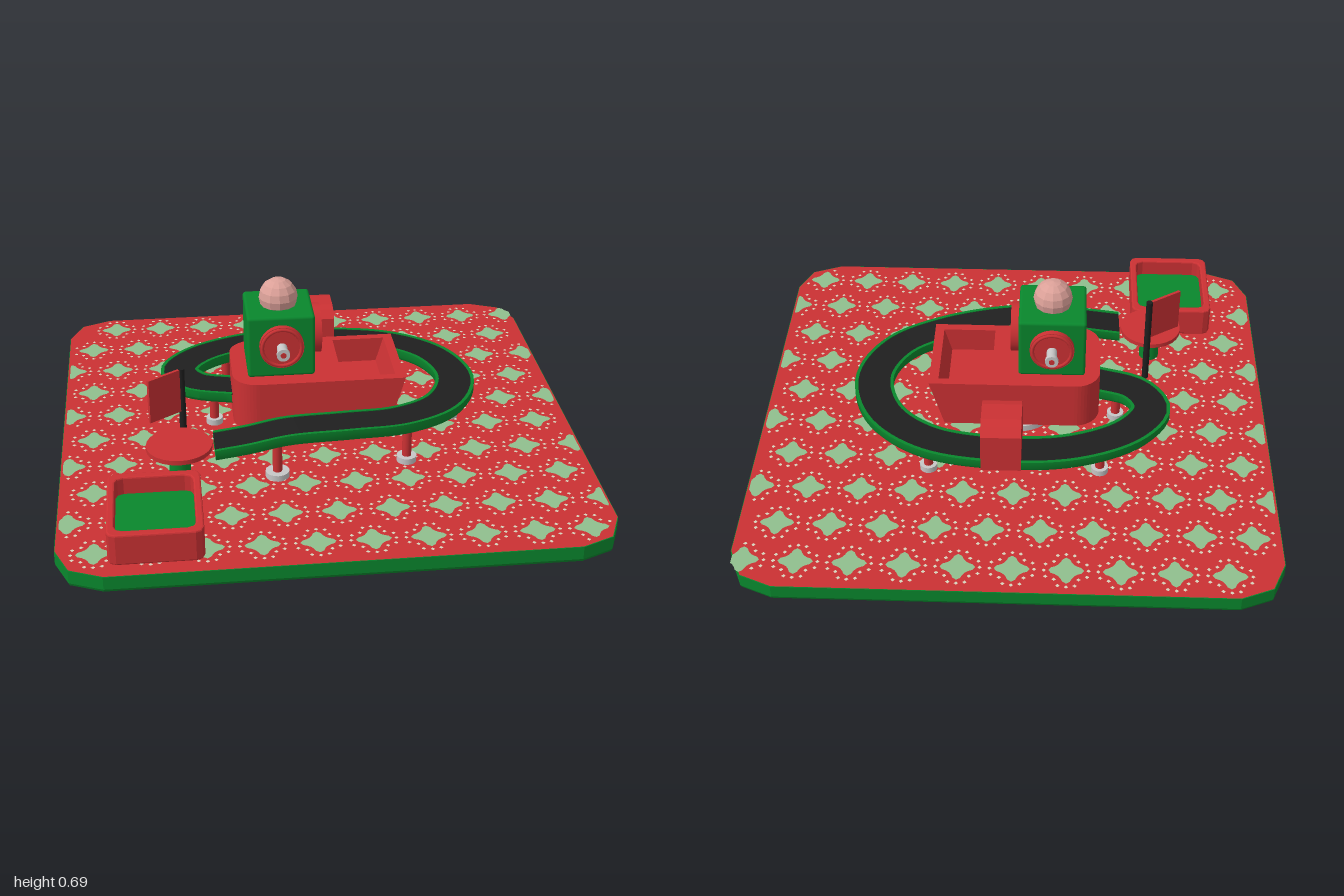
import * as THREE from 'three';
import { mergeGeometries, toCreasedNormals } from 'three/addons/utils/BufferGeometryUtils.js';
import { RoundedBoxGeometry } from 'three/addons/geometries/RoundedBoxGeometry.js';

const mat = (name, color) => new THREE.MeshStandardMaterial({ name, color });

export function createModel() {
  const red = mat('red', 0xcb3133), green = mat('green', 0x09872d), black = mat('black', 0x1f1f1f);
  const grey = mat('grey', 0xc6c6c6), pink = mat('pink', 0xdba098);
  const leaf = mat('leafGreen', 0x90bf8e), cream = mat('cream', 0xd8d2bc);
  const root = new THREE.Group();
  root.name = 'conveyorMachine';

  const add = (name, geo, material, x = 0, y = 0, z = 0) => {
    const m = new THREE.Mesh(geo, material);
    m.name = name;
    m.position.set(x, y, z);
    root.add(m);
    return m;
  };
  // upright cylinder between two heights
  const post = (name, material, x, z, r, y0, y1, n = 20) =>
    add(name, new THREE.CylinderGeometry(r, r, y1 - y0, n), material, x, (y0 + y1) / 2, z);
  // rectangle with cut corners
  const octagon = (w, d, c, m = c * 0.3) => [
    [w, -d + c], [w, d - c], [w - m, d - m], [w - c, d], [-w + c, d], [-w + m, d - m],
    [-w, d - c], [-w, -d + c], [-w + m, -d + m], [-w + c, -d], [w - c, -d], [w - m, -d + m],
  ].map(p => new THREE.Vector2(...p));
  // extrude a plan outline upwards
  const slab = (shape, h, bevel = 0) => {
    const g = new THREE.ExtrudeGeometry(shape, {
      depth: h - 2 * bevel, bevelEnabled: bevel > 0, bevelSize: bevel, bevelThickness: bevel,
      bevelOffset: -bevel, bevelSegments: 2, curveSegments: 6,
    });
    return g.translate(0, 0, bevel).rotateX(-Math.PI / 2);
  };

  // Base board: rounded lower edge, straight green sides and a red top face
  add('baseBoard', slab(new THREE.Shape(octagon(1, 1, 0.17)), 0.05, 0.015), green);
  add('baseRim', slab(new THREE.Shape(octagon(1, 1, 0.17)), 0.04), green, 0, 0.025, 0);
  const top = new THREE.ShapeGeometry(new THREE.Shape(octagon(0.998, 0.998, 0.17)));
  add('baseTop', top.rotateX(-Math.PI / 2), red, 0, 0.066, 0);

  // Leaf motifs in staggered rows, with small specks around each
  const motif = [], specks = [];
  for (let k = 0; k < 4; k++) {
    const polar = ([a, r]) => [r * Math.cos(a + k * Math.PI / 2), r * Math.sin(a + k * Math.PI / 2)];
    motif.push(...[[-0.45, 0.045], [-0.25, 0.056], [0, 0.064], [0.25, 0.056], [0.45, 0.045],
      [Math.PI / 4, 0.04]].map(polar));
    specks.push(...[[0, 0.08], [-0.39, 0.08], [0.39, 0.08], [Math.PI / 4, 0.062]].map(polar));
  }
  const lim = v => Math.max(-0.99, Math.min(0.99, v));
  const flat = (points, x, z) => new THREE.ShapeGeometry(new THREE.Shape(
    points.map(p => new THREE.Vector2(lim(p[0] + x), lim(p[1] - z))))).rotateX(-Math.PI / 2);
  const leaves = [], dots = [];
  for (let r = 0; r < 10; r++) for (let c = -1; c < 12; c++) {
    const x = -0.992 + c * 0.1945 + (r % 2 ? 0.093 : 0) + r * 0.004;
    const z = -0.897 + r * 0.1955 + c * 0.0025;
    if (Math.abs(x) > 1.02 || Math.abs(x) + Math.abs(z) > 1.86) continue;
    leaves.push(flat(motif, x, z));
    for (const [dx, dz] of specks) {
      const sx = x + dx, sz = z + dz;
      if (Math.max(Math.abs(sx), Math.abs(sz)) < 0.975 && Math.abs(sx) + Math.abs(sz) < 1.85)
        dots.push(flat([[0.008, 0], [0, 0.008], [-0.008, 0], [0, -0.008]], sx, sz));
    }
  }
  add('leafPattern', mergeGeometries(leaves), leaf, 0, 0.0685, 0);
  add('speckPattern', mergeGeometries(dots), cream, 0, 0.068, 0);

  // Conveyor: a section swept along a level curve, closed at its start
  const path = new THREE.CatmullRomCurve3([
    [-0.42, 0.222, 0.399], [-0.3, 0.238, 0.397], [-0.15, 0.262, 0.389], [0.08, 0.26, 0.368], [0.3, 0.242, 0.315],
    [0.475, 0.234, 0.2], [0.557, 0.232, 0.0], [0.495, 0.23, -0.22], [0.32, 0.228, -0.365], [0.04, 0.228, -0.42],
    [-0.235, 0.23, -0.4], [-0.45, 0.232, -0.295], [-0.532, 0.235, -0.165], [-0.475, 0.238, -0.055],
    [-0.31, 0.24, 0.005],
  ].map(p => new THREE.Vector3(...p)));
  const sweep = (profile, steps = 90) => {
    const pos = [], idx = [], n = profile.length;
    for (let i = 0; i <= steps; i++) {
      const p = path.getPointAt(i / steps), t = path.getTangentAt(i / steps);
      const l = Math.hypot(t.x, t.z);
      for (const [u, v] of profile) pos.push(p.x - u * t.z / l, p.y + v, p.z + u * t.x / l);
      if (i < steps) for (let j = 0; j < n; j++) {
        const a = i * n + j, b = i * n + (j + 1) % n;
        idx.push(a, a + n, b, b, a + n, b + n);
      }
    }
    for (let j = 1; j < n - 1; j++) idx.push(0, j, j + 1);
    const g = new THREE.BufferGeometry();
    g.setAttribute('position', new THREE.Float32BufferAttribute(pos, 3));
    g.setIndex(idx);
    return toCreasedNormals(g, 0.6);
  };
  add('conveyorFrame', sweep([[-0.066, -0.045], [0.066, -0.045], [0.076, -0.03], [0.076, 0], [0.063, 0],
    [0.063, -0.01], [-0.063, -0.01], [-0.063, 0], [-0.076, 0], [-0.076, -0.03]]), green);
  add('conveyorBelt', sweep([[-0.063, -0.012], [0.063, -0.012], [0.063, -0.003], [-0.063, -0.003]]), black);

  // Conveyor legs with round feet
  for (const [x, z, y, foot] of [[-0.188, 0.415, 0.22, 0.045], [0.31, 0.355, 0.2, 0.038],
    [0.535, 0.035, 0.195, 0.033], [0.32, -0.355, 0.19, 0.033], [-0.337, -0.35, 0.19, 0.033],
    [-0.402, -0.02, 0.2, 0.033]]) {
    post('leg', red, x, z, 0.018, 0.09, y, 12);
    post('legFoot', grey, x, z, foot, 0.062, 0.09, 16);
  }

  // Round table at the start of the belt
  post('tableStem', green, -0.55, 0.39, 0.04, 0.062, 0.195);
  post('tableTop', red, -0.55, 0.39, 0.123, 0.193, 0.211, 24);

  // Flag on a pole
  post('flagPole', black, -0.53, 0.237, 0.013, 0.062, 0.445, 12);
  const flag = add('flag', new THREE.BoxGeometry(0.15, 0.175, 0.012), red, -0.592, 0.357, 0.28);
  flag.rotation.y = Math.atan2(0.085, 0.125);

  // Collecting tray
  const rim = new THREE.Shape(octagon(0.167, 0.202, 0.03));
  rim.holes.push(new THREE.Path(octagon(0.14, 0.17, 0.03).reverse()));
  add('trayWall', slab(rim, 0.12, 0.006), red, -0.647, 0.068, 0.738);
  add('trayFloor', slab(new THREE.Shape(octagon(0.145, 0.175, 0.03)), 0.05), green, -0.647, 0.07, 0.738);

  // Turntable under the body
  post('turntableFoot', grey, -0.015, 0.015, 0.145, 0.062, 0.092, 32);
  post('turntableNeck', green, -0.015, 0.015, 0.085, 0.092, 0.136, 24);
  post('turntablePlate', black, -0.015, 0.015, 0.115, 0.134, 0.147, 24);

  // Body with an open hopper and a raked front
  const body = new THREE.Shape();
  body.moveTo(0.326, -0.203);
  body.lineTo(0.326, 0.18);
  body.lineTo(-0.235, 0.18);
  body.absarc(-0.235, 0.082, 0.098, Math.PI / 2, Math.PI, false);
  body.lineTo(-0.333, -0.1);
  body.absarc(-0.235, -0.105, 0.098, Math.PI, Math.PI * 1.5, false);
  const floor = new THREE.Shape(body.getPoints(6));
  body.holes.push(new THREE.Path([[0.085, -0.168], [0.085, 0.147], [0.29, 0.147], [0.29, -0.168]]
    .map(p => new THREE.Vector2(...p))));
  const rake = (g, y) => {
    const p = g.attributes.position;
    for (let i = 0; i < p.count; i++)
      if (p.getX(i) > 0.25) p.setX(i, p.getX(i) - (0.34 - y - p.getY(i)) * 0.29);
    g.computeVertexNormals();
    return g;
  };
  add('body', rake(slab(body, 0.1), 0.24), red, 0, 0.24, 0);
  add('bodyBottom', rake(slab(floor, 0.095), 0.145), red, 0, 0.145, 0);

  // Head block with a ball on top
  const hx = -0.145, hy = 0.465, hz = 0.013, py = 0.473;
  add('head', new RoundedBoxGeometry(0.258, 0.25, 0.258, 2, 0.012), green, hx, hy, hz);
  const ball = toCreasedNormals(new THREE.SphereGeometry(0.075, 12, 8), 0.1);
  add('ball', ball, pink, hx, 0.62, hz);

  // Side ports with a shaft through the head
  const turned = (name, r, depth, material, z) => {
    const m = add(name, new THREE.CylinderGeometry(r, r, depth, 28), material, hx, py, z);
    m.rotation.x = Math.PI / 2;
  };
  for (const s of [1, -1]) {
    turned('sidePort', 0.085, 0.026, red, hz + s * 0.138);
    add('sidePortRing', new THREE.TorusGeometry(0.075, 0.007, 6, 28), red, hx, py, hz + s * 0.151);
    turned('shaftTip', 0.025, 0.015, grey, hz + s * 0.208);
    turned('shaftPin', 0.011, 0.006, red, hz + s * 0.215);
  }
  turned('shaft', 0.02, 0.42, grey, hz);

  // Outlet port facing the hopper
  const outlet = add('outletPort', new THREE.CylinderGeometry(0.095, 0.095, 0.035, 28), red, -0.003, 0.48, hz);
  outlet.rotation.z = Math.PI / 2;
  const hole = add('outletHole', new THREE.CircleGeometry(0.082, 28), black, 0.017, 0.48, hz);
  hole.rotation.y = Math.PI / 2;

  // Scanner box over the belt, with a dark opening
  const arch = (w, y0, y1, c) => new THREE.Shape([[-w, y0], [w, y0], [w, y1 - c], [w - c, y1 - c * 0.25],
    [w * 0.4, y1], [-w * 0.4, y1], [-w + c, y1 - c * 0.25], [-w, y1 - c]].map(p => new THREE.Vector2(...p)));
  const box = new THREE.ExtrudeGeometry(arch(0.109, 0.205, 0.397, 0.035), { depth: 0.15, bevelEnabled: false });
  add('scannerBox', box.rotateY(Math.PI / 2), red, -0.04, 0, -0.407);
  const gate = new THREE.ShapeGeometry(arch(0.08, 0.225, 0.357, 0.02));
  add('scannerOpening', gate.rotateY(Math.PI / 2), black, 0.113, 0, -0.407);

  return root;
}
